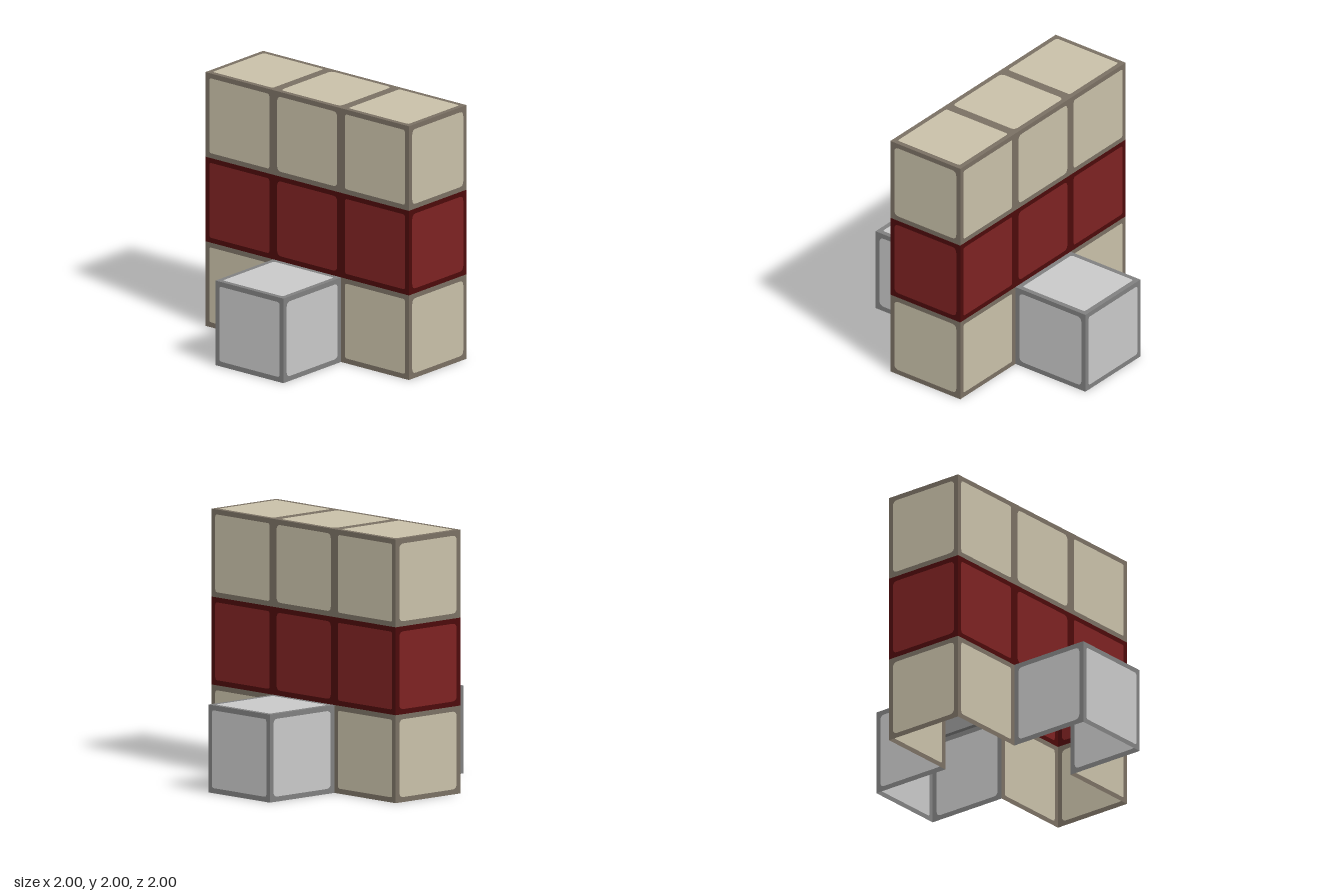
import * as THREE from 'three';

const CELL = 2 / 3;      // edge of one block
const PANEL = 0.59;      // edge of the inset panel on each face

function material(name, color) {
  return new THREE.MeshStandardMaterial({ name, color, side: THREE.DoubleSide });
}

// Square outline with rounded corners, centred on the origin
function roundedSquare(PathType, size, r) {
  const h = size / 2, p = new PathType();
  p.moveTo(-h + r, -h);
  p.lineTo(h - r, -h).quadraticCurveTo(h, -h, h, -h + r);
  p.lineTo(h, h - r).quadraticCurveTo(h, h, h - r, h);
  p.lineTo(-h + r, h).quadraticCurveTo(-h, h, -h, h - r);
  p.lineTo(-h, -h + r).quadraticCurveTo(-h, -h, -h + r, -h);
  return p;
}

// Square border around a panel-shaped hole
function borderShape(r) {
  const h = CELL / 2;
  const s = new THREE.Shape([[-h, -h], [h, -h], [h, h], [-h, h]].map(([x, y]) => new THREE.Vector2(x, y)));
  s.holes.push(roundedSquare(THREE.Path, PANEL, r));
  return s;
}

function faceGeometries(r) {
  return {
    border: new THREE.ShapeGeometry(borderShape(r), 4),
    panel: new THREE.ShapeGeometry(roundedSquare(THREE.Shape, PANEL, r), 4),
  };
}

export function createModel() {
  const model = new THREE.Group();
  model.name = 'blockCross';

  const finishes = {
    sand: { panel: material('sand', 0xc8c0a8), border: material('sandBorder', 0x7a7063) },
    red: { panel: material('red', 0x7d2222), border: material('redBorder', 0x4c0a0b) },
    grey: { panel: material('lightGrey', 0xc8c8c8), border: material('greyBorder', 0x808080) },
  };
  const softFace = faceGeometries(0.04), crispFace = faceGeometries(0.02);

  // Hollow wall of three by three blocks, with one grey block before and behind
  const cells = [];
  for (let y = 0; y < 3; y++)
    for (let x = -1; x <= 1; x++) cells.push({ x, y, z: 0, finish: y === 1 ? 'red' : 'sand' });
  for (const z of [1, -1]) cells.push({ x: 0, y: 0, z, finish: 'grey' });
  const filled = new Set(cells.map(c => `${c.x},${c.y},${c.z}`));

  // Outward directions; the underside stays open
  const sides = [
    ['front', 0, 0, 1], ['back', 0, 0, -1], ['left', 1, 0, 0], ['right', -1, 0, 0], ['top', 0, 1, 0],
  ];
  const zAxis = new THREE.Vector3(0, 0, 1);

  for (const { x, y, z, finish } of cells) {
    const block = new THREE.Group();
    block.name = `${finish}Block`;
    block.position.set(x * CELL, (y + 0.5) * CELL, z * CELL);

    // Only faces on the outside of the whole shape
    for (const [side, dx, dy, dz] of sides) {
      if (filled.has(`${x + dx},${y + dy},${z + dz}`)) continue;
      const geometries = x === 0 && z === 0 || dx !== 0 ? softFace : crispFace;
      const normal = new THREE.Vector3(dx, dy, dz);
      for (const part of ['border', 'panel']) {
        const mesh = new THREE.Mesh(geometries[part], finishes[finish][part]);
        mesh.name = `${side}${part === 'panel' ? 'Panel' : 'Border'}`;
        mesh.quaternion.setFromUnitVectors(zAxis, normal);
        if (dz < 0) mesh.rotation.set(0, Math.PI, 0);
        mesh.position.copy(normal).multiplyScalar(CELL / 2);
        block.add(mesh);
      }
    }
    model.add(block);
  }
  return model;
}
